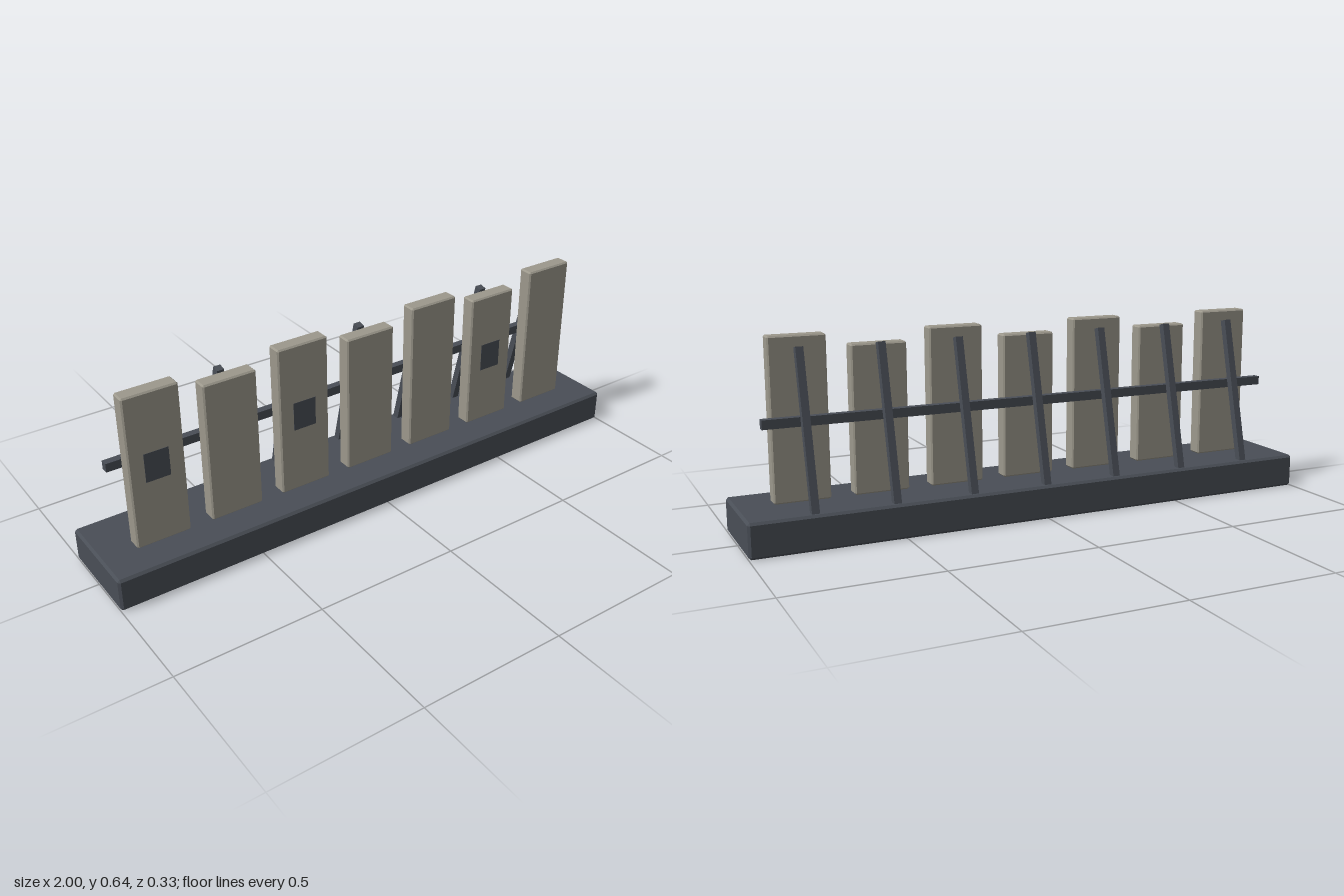
import * as THREE from 'three';
import { ConvexGeometry } from 'three/addons/geometries/ConvexGeometry.js';

// Box with chamfered edges, built as the hull of its cut corners
function chamferBox(w, h, d, c) {
  const half = [w / 2, h / 2, d / 2];
  const points = [];
  for (const sx of [-1, 1]) for (const sy of [-1, 1]) for (const sz of [-1, 1]) {
    const signs = [sx, sy, sz];
    for (let face = 0; face < 3; face++) {
      const p = signs.map((s, i) => s * (half[i] - (i === face ? 0 : c)));
      points.push(new THREE.Vector3(...p));
    }
  }
  return new ConvexGeometry(points);
}

export function createModel() {
  const model = new THREE.Group();
  const slate = new THREE.MeshStandardMaterial({ color: 0x494e56 });
  slate.name = 'darkSlate';
  const stone = new THREE.MeshStandardMaterial({ color: 0x9c988c });
  stone.name = 'warmGrey';

  const add = (name, geometry, material, x, y, z) => {
    const mesh = new THREE.Mesh(geometry, material);
    mesh.name = name;
    mesh.position.set(x, y, z);
    model.add(mesh);
    return mesh;
  };

  // Plinth
  add('base', chamferBox(2, 0.115, 0.33, 0.008), slate, 0, 0.0575, 0);

  // Upright slabs of alternating height, each with a leaning brace behind
  const bottom = 0.115, front = 0.053;
  const lean = 0.241, braceLength = 0.54;
  for (let i = 0; i < 7; i++) {
    const x = (i - 3) * 0.263;
    const height = (i % 2 ? 0.605 : 0.645) - bottom;
    add('slab', chamferBox(0.185, height, front, 0.005), stone, x, bottom + height / 2, front / 2);

    const brace = add('brace', new THREE.BoxGeometry(0.025, braceLength, 0.025), slate, x,
      0.61 - Math.cos(lean) * braceLength / 2, -0.016 - Math.sin(lean) * braceLength / 2);
    brace.rotation.x = lean;
  }

  // Rail running behind the slabs
  add('rail', new THREE.BoxGeometry(1.84, 0.03, 0.026), slate, 0, 0.384, -0.041);

  // Thin square plates on three of the slabs
  for (const [i, y] of [[0, 0.392], [2, 0.392], [5, 0.37]]) {
    add('plate', new THREE.BoxGeometry(0.083, 0.1, 0.004), slate, (i - 3) * 0.263, y, front - 0.001);
  }
  return model;
}
